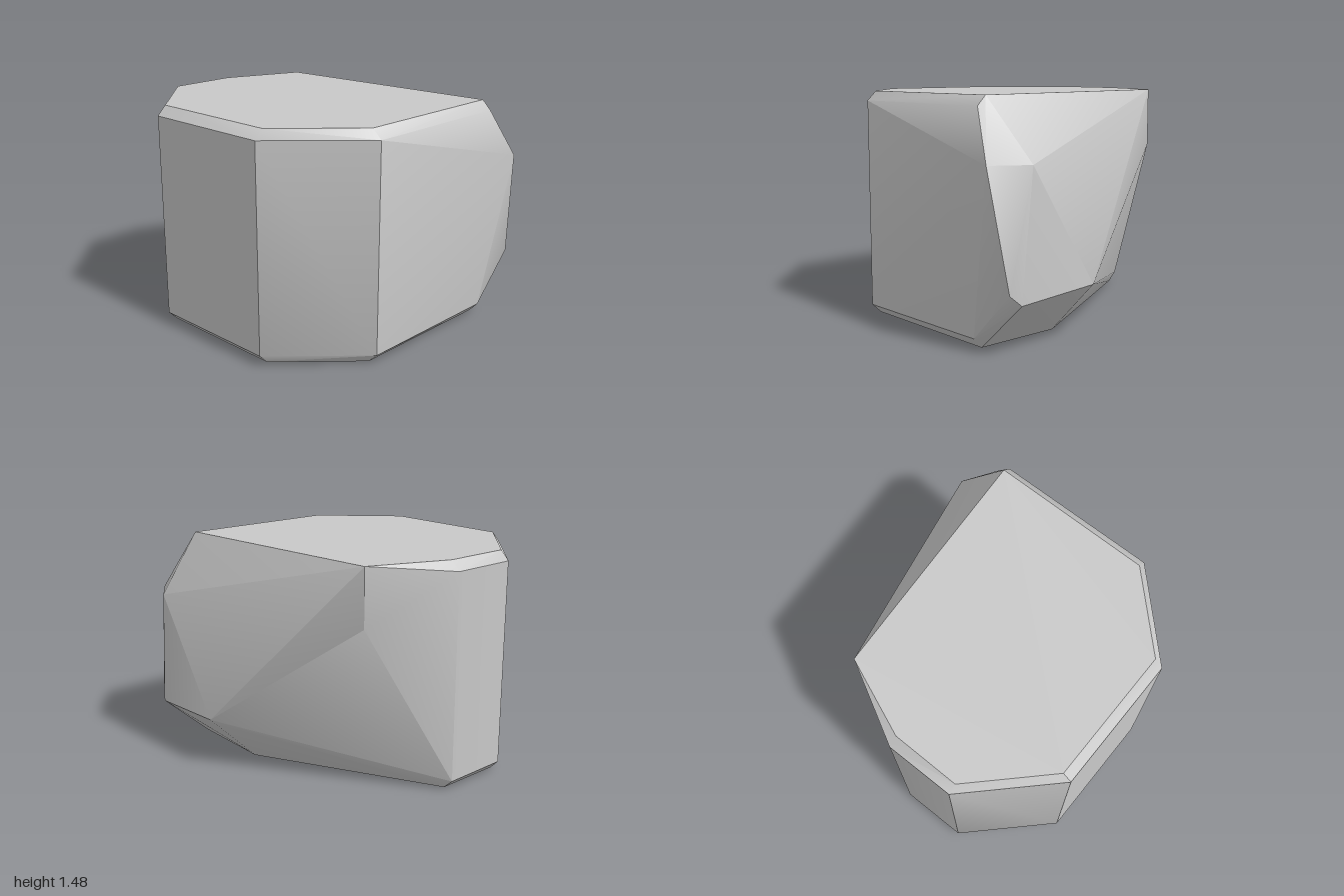
import * as THREE from 'three';
import { ConvexGeometry } from 'three/addons/geometries/ConvexGeometry.js';
import { toCreasedNormals } from 'three/addons/utils/BufferGeometryUtils.js';

export function createModel() {
  const group = new THREE.Group();
  group.name = 'rock';
  const stone = new THREE.MeshStandardMaterial({ color: 0xc8c8c8 });
  stone.name = 'light grey stone';

  const points = [];
  const add = (...list) => list.forEach((p) => points.push(new THREE.Vector3(...p)));

  // Left and back corners: each has a flat-face point and a bevel point, at top and bottom
  const corners = [
    // inner x, inner z, outer x, outer z
    [-0.89, -0.49, -0.95, -0.49],
    [-0.45, -0.93, -0.45, -0.99],
    [0, -0.93, 0, -0.995],
    [-0.89, 0.41, -0.95, 0.41],
    [-0.45, 0.85, -0.45, 0.915],
  ];
  for (const [ix, iz, ox, oz] of corners) {
    add([ix, 1.475, iz], [ox, 1.415, oz], [ox, 0.07, oz], [ix, 0.008, iz]);
  }

  // Top right edge and the slanted break below it
  add([0.635, 1.475, 0.85], [0.635, 1.415, 0.91]);
  add([0.51, 1.475, -0.73], [0.51, 1.1, -0.73]);
  add([0.81, 1.1, 1], [0.95, 1.1, 0.78]);

  // Undercut at the lower right
  add([0.91, 0.38, 0.92], [0.945, 0.32, 0.86], [0.945, 0.35, 0.28]);
  add([0.6, 0.07, 0.92], [0.6, 0.005, 0.86], [0.6, 0, 0.28]);

  // Soft shading over shallow breaks, sharp along the bevels
  const geometry = toCreasedNormals(new ConvexGeometry(points), THREE.MathUtils.degToRad(35));
  const boulder = new THREE.Mesh(geometry, stone);
  boulder.name = 'boulder';
  group.add(boulder);
  return group;
}
